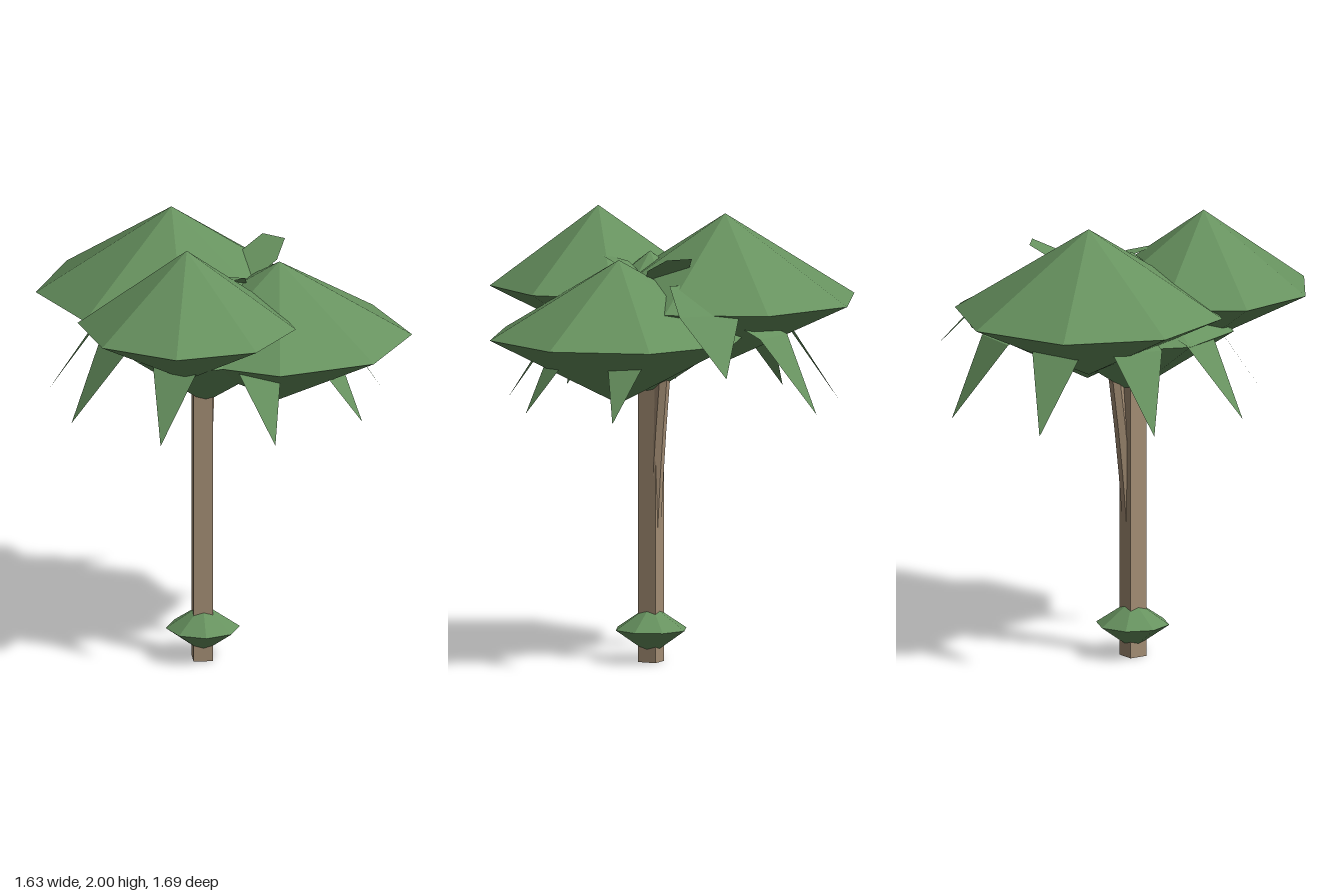
import * as THREE from 'three';

const foliageGreen = new THREE.MeshStandardMaterial({ color: 0x67925f, flatShading: true, side: THREE.DoubleSide });
foliageGreen.name = 'foliageGreen';
const barkBrown = new THREE.MeshStandardMaterial({ color: 0xa38d74, flatShading: true });
barkBrown.name = 'barkBrown';

// Eight-sided double cone; turn is the rim angle in degrees from +x towards +z
function doubleCone(name, x, z, radius, bottom, rim, top, turn) {
  const profile = [[0, bottom], [radius, rim], [0, top]].map(([r, y]) => new THREE.Vector2(r, y));
  const mesh = new THREE.Mesh(
    new THREE.LatheGeometry(profile, 8, -THREE.MathUtils.degToRad(turn)), foliageGreen);
  mesh.name = name;
  mesh.position.set(x, 0, z);
  return mesh;
}

// Flat bent leaf running outwards; each section is [distance, height, half width]
function leaf(name, x, z, angle, sections) {
  const a = THREE.MathUtils.degToRad(angle);
  const c = Math.cos(a), s = Math.sin(a);
  const pos = [], idx = [];
  sections.forEach(([r, y, w], i) => {
    for (const side of [-1, 1]) {
      pos.push(x + c * r - s * w * side, y, z + s * r + c * w * side);
    }
    if (i) {
      const k = 2 * i - 2;
      idx.push(k, k + 1, k + 2);
      if (w > 0) idx.push(k + 1, k + 3, k + 2);
    }
  });
  const geo = new THREE.BufferGeometry();
  geo.setAttribute('position', new THREE.Float32BufferAttribute(pos, 3));
  geo.setIndex(idx);
  geo.computeVertexNormals();
  const mesh = new THREE.Mesh(geo, foliageGreen);
  mesh.name = name;
  return mesh;
}

export function createModel() {
  const tree = new THREE.Group();
  tree.name = 'tree';

  // Square trunk
  const trunk = new THREE.Mesh(new THREE.BoxGeometry(0.086, 1.5, 0.086), barkBrown);
  trunk.name = 'trunk';
  trunk.position.set(-0.112, 0.75, 0.061);
  tree.add(trunk);

  // Slender inner stem that leans out of the trunk's back corner
  const stemCurve = new THREE.QuadraticBezierCurve3(
    new THREE.Vector3(-0.115, 0.02, 0.064),
    new THREE.Vector3(-0.115, 0.8, 0.06),
    new THREE.Vector3(-0.06, 1.65, -0.06));
  const stem = new THREE.Mesh(new THREE.TubeGeometry(stemCurve, 8, 0.032, 6), barkBrown);
  stem.name = 'leaningStem';
  tree.add(stem);

  // Canopy clumps and the small bush at the foot
  tree.add(
    doubleCone('backCanopy', -0.22, -0.25, 0.6, 1.34, 1.62, 2.0, 0),
    doubleCone('frontCanopy', -0.21, 0.37, 0.483, 1.4, 1.65, 2.0, 10.8),
    doubleCone('leftCanopy', 0.23, 0.05, 0.585, 1.19, 1.49, 1.83, 5),
    doubleCone('middleCanopy', -0.1, 0.06, 0.46, 1.19, 1.49, 1.83, 0),
    doubleCone('footBush', -0.11, 0.06, 0.164, 0.03, 0.145, 0.255, 0));

  // Ring of drooping leaves at 40 degree steps, the last one held higher
  const droop = [[0.05, 1.58, 0.03], [0.28, 1.6, 0.09], [0.52, 1.5, 0.115], [0.74, 1.17, 0]];
  const raised = [[0.05, 1.7, 0.04], [0.28, 1.73, 0.11], [0.5, 1.62, 0.14], [0.73, 1.37, 0]];
  for (let i = 0; i < 9; i++) {
    tree.add(leaf('droopingLeaf' + (i + 1), -0.04, -0.08, -5.5 + 40 * i, i === 8 ? raised : droop));
  }

  // Short leaves standing out of the crown
  tree.add(
    leaf('crownLeafBack', 0.04, -0.02, -50, [[0, 1.7, 0.04], [0.18, 1.79, 0.1], [0.3, 1.85, 0.06]]),
    leaf('crownLeafFront', 0.06, 0.02, 106, [[0, 1.72, 0.03], [0.12, 1.79, 0.045], [0.27, 1.82, 0]]));

  return tree;
}
